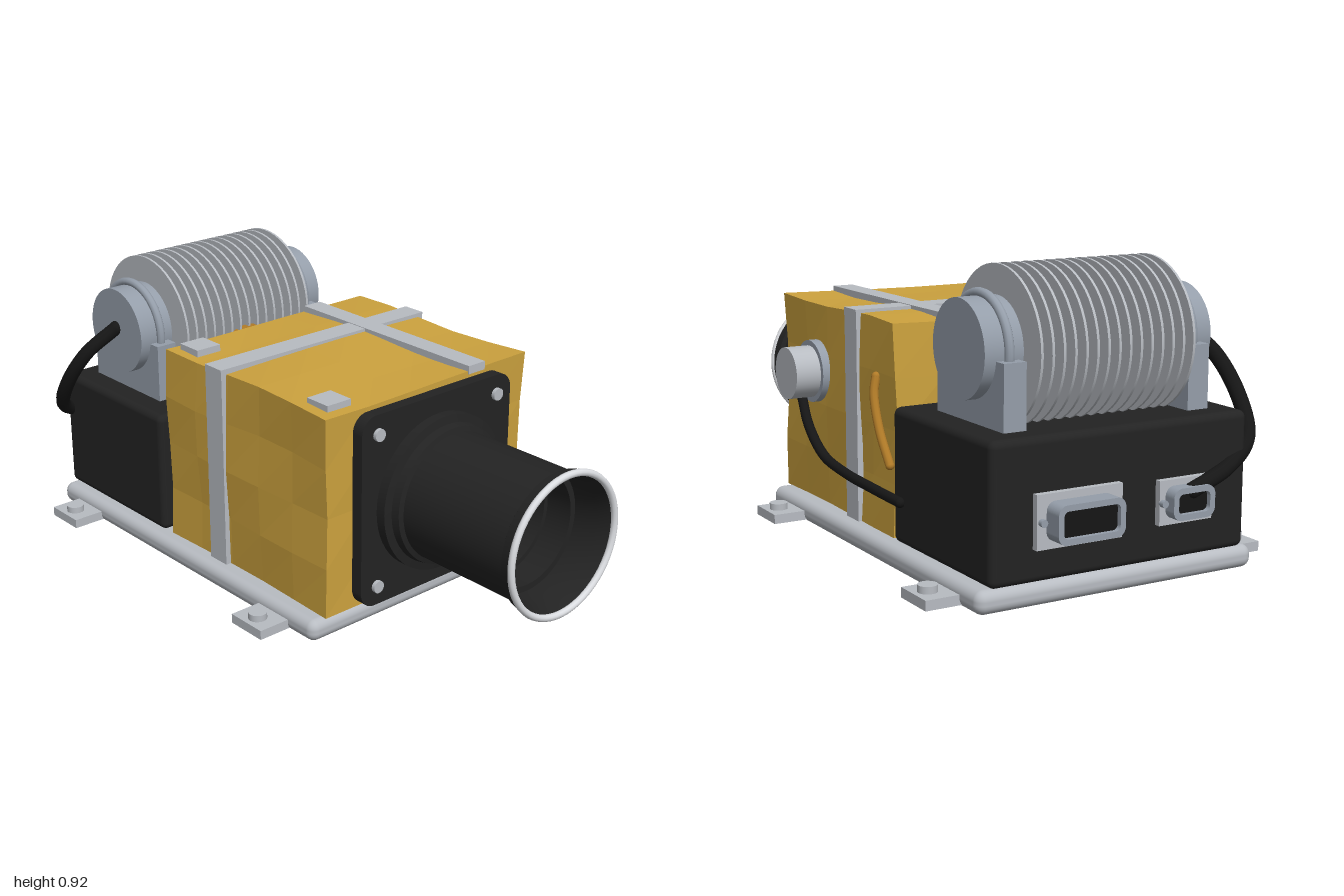
import * as THREE from 'three';
import { toCreasedNormals } from 'three/addons/utils/BufferGeometryUtils.js';
import { RoundedBoxGeometry } from 'three/addons/geometries/RoundedBoxGeometry.js';

const paint = (name, color) => {
  const m = new THREE.MeshStandardMaterial({ color });
  m.name = name;
  return m;
};

export function createModel() {
  const silver = paint('silver', 0xb8bcc2);
  const steel = paint('steel', 0x959eaa);
  const bright = paint('bright rim', 0xdcdee2);
  const black = paint('black', 0x232323);
  const rubber = paint('cable black', 0x161616);
  const foil = paint('gold foil', 0xcca23e);
  const copper = paint('copper', 0xb27c28);
  const glass = paint('lens glass', 0x12303f);

  const model = new THREE.Group();
  model.name = 'infraredSensor';

  const add = (name, geo, mat, x = 0, y = 0, z = 0) => {
    const mesh = new THREE.Mesh(geo, mat);
    mesh.name = name;
    mesh.position.set(x, y, z);
    model.add(mesh);
    return mesh;
  };
  // Box given by its extents on each axis
  const box = (name, mat, x0, x1, y0, y1, z0, z1, r = 0) => {
    const s = [x1 - x0, y1 - y0, z1 - z0];
    const geo = r ? new RoundedBoxGeometry(...s, 4, r) : new THREE.BoxGeometry(...s);
    return add(name, geo, mat, (x0 + x1) / 2, (y0 + y1) / 2, (z0 + z1) / 2);
  };
  // Cylinder lying along an axis
  const rod = (name, mat, axis, r, len, x, y, z, seg = 40) => {
    const geo = new THREE.CylinderGeometry(r, r, len, seg);
    if (axis === 'x') geo.rotateZ(-Math.PI / 2);
    if (axis === 'z') geo.rotateX(Math.PI / 2);
    return add(name, geo, mat, x, y, z);
  };
  const cable = (name, mat, r, pts) => {
    const curve = new THREE.CatmullRomCurve3(pts.map(p => new THREE.Vector3(...p)));
    add(name, new THREE.TubeGeometry(curve, 40, r, 10), mat);
    for (const p of [pts[0], pts[pts.length - 1]]) add(name + 'End', new THREE.SphereGeometry(r, 10, 8), mat, ...p);
  };
  const roundRect = (w, h, r, Type = THREE.Shape) => {
    const s = new Type();
    const x = w / 2, y = h / 2, q = Math.PI / 2;
    s.absarc(x - r, y - r, r, 0, q);
    s.absarc(-x + r, y - r, r, q, 2 * q);
    s.absarc(-x + r, -y + r, r, 2 * q, 3 * q);
    s.absarc(x - r, -y + r, r, 3 * q, 4 * q);
    s.closePath();
    return s;
  };
  const extrude = (shape, depth) => new THREE.ExtrudeGeometry(shape, { depth, bevelEnabled: false, curveSegments: 8 });
  const lathe = pts => toCreasedNormals(
    new THREE.LatheGeometry(pts.map(p => new THREE.Vector2(...p)), 56).rotateX(Math.PI / 2), 0.5);

  // Base plate and bolted feet
  box('basePlate', silver, -0.47, 0.47, 0.005, 0.075, -0.92, 0.44, 0.03);
  for (const s of [-1, 1]) for (const z of [0.255, -0.75]) {
    const x = s * 0.505;
    box('mountingFoot', silver, x - 0.07, x + 0.07, 0.015, 0.045, z - 0.07, z + 0.07);
    rod('footBolt', silver, 'y', 0.029, 0.022, s * 0.53, 0.055, z, 20);
  }

  // Foil-wrapped housing with slightly crumpled faces
  const wrap = new THREE.BoxGeometry(0.82, 0.645, 0.775, 5, 4, 5);
  const p = wrap.attributes.position;
  for (let i = 0; i < p.count; i++) {
    const x = p.getX(i), y = p.getY(i), z = p.getZ(i);
    const a = 0.006;
    p.setXYZ(i,
      x + a * Math.sin(11 * y + 7 * z + 3 * x),
      y + (y > 0 ? a * Math.sin(4 * x + 9 * z + 2) : 0),
      z + a * Math.sin(8 * x + 10 * y + 1) * (z > 0 ? 0.6 : 1));
  }
  const wrapGeo = wrap.toNonIndexed();
  wrapGeo.computeVertexNormals();
  add('foilHousing', wrapGeo, foil, 0, 0.3975, 0.0475);

  // Straps and corner pads
  box('crossStrapTop', silver, -0.425, 0.425, 0.71, 0.735, -0.115, -0.035);
  for (const s of [-1, 1]) {
    box('crossStrapSide', silver, s * 0.412 - 0.012, s * 0.412 + 0.012, 0.075, 0.73, -0.115, -0.035);
  }
  box('longStrap', silver, 0.165, 0.235, 0.71, 0.737, -0.34, 0.437);
  for (const z of [0.355, -0.265]) box('topPad', silver, -0.375, -0.285, 0.71, 0.737, z - 0.045, z + 0.045);

  // Front plate and screws
  add('frontPlate', extrude(roundRect(0.62, 0.62, 0.055), 0.04), black, 0, 0.39, 0.437);
  for (const x of [-0.247, 0.247]) for (const y of [0.143, 0.638]) {
    rod('plateScrew', silver, 'z', 0.02, 0.018, x, y, 0.48, 12);
  }

  // Lens barrel: outer skin forward, then stepped baffles back to the glass
  add('lensBarrel', lathe([
    [0.25, 0.47], [0.25, 0.51], [0.225, 0.515], [0.22, 0.54], [0.205, 0.545], [0.205, 0.94],
    [0.218, 0.95], [0.225, 0.99], [0.212, 0.99], [0.195, 0.94], [0.195, 0.86], [0.175, 0.86],
    [0.175, 0.77], [0.16, 0.77], [0.16, 0.68], [0.145, 0.68], [0.145, 0.58], [0.125, 0.575],
  ]), black, 0, 0.39, 0);
  add('lensRim', new THREE.TorusGeometry(0.219, 0.011, 10, 56), bright, 0, 0.39, 0.989);
  rod('lensGlass', glass, 'z', 0.134, 0.02, 0, 0.39, 0.58, 48);

  // Electronics box
  box('electronicsBox', black, -0.432, 0.432, 0.075, 0.482, -0.92, -0.36, 0.022);

  // Cooler drum, end bands, saddles and fins
  const cy = 0.69, cz = -0.66;
  rod('coolerDrum', steel, 'x', 0.143, 0.764, 0, cy, cz, 48);
  for (const s of [-1, 1]) {
    const x = s * 0.31;
    box('coolerSaddle', steel, x - 0.036, x + 0.036, 0.47, 0.672, cz - 0.182, cz + 0.182);
    add('coolerBand', new THREE.TorusGeometry(0.152, 0.014, 10, 48), steel, x, cy, cz).rotation.y = Math.PI / 2;
  }
  for (let i = -7; i <= 7; i++) rod('coolingFin', silver, 'x', 0.23, 0.008, i * 0.0364, cy, cz, 48);

  // Cold finger joining the housing to the cooler
  rod('coldFingerFlange', silver, 'z', 0.138, 0.03, 0, 0.56, -0.347);
  rod('coldFinger', copper, 'z', 0.12, 0.11, 0, 0.56, -0.397);
  rod('coldFingerTip', silver, 'z', 0.036, 0.2, 0, 0.56, -0.54, 24);

  // Side port
  rod('portFlange', steel, 'x', 0.1, 0.035, 0.418, 0.5, 0.2);
  rod('portCap', silver, 'x', 0.083, 0.085, 0.476, 0.5, 0.2);

  // Cables
  cable('portCable', rubber, 0.016, [
    [0.465, 0.42, 0.2], [0.475, 0.34, 0.13], [0.476, 0.265, 0.02],
    [0.468, 0.235, -0.12], [0.455, 0.22, -0.27], [0.44, 0.207, -0.42],
  ]);
  cable('coolerCable', rubber, 0.024, [
    [-0.385, 0.7, -0.66], [-0.47, 0.62, -0.71], [-0.502, 0.5, -0.79],
    [-0.475, 0.39, -0.87], [-0.36, 0.325, -0.925], [-0.21, 0.28, -0.955],
  ]);
  cable('copperLead', copper, 0.014, [
    [0.42, 0.55, -0.235], [0.432, 0.5, -0.245], [0.436, 0.4, -0.285], [0.43, 0.3, -0.34],
  ]);

  // Rear connectors: flange, hollow shell, dark core and side screws
  const connector = (x, y, w, h, depth) => {
    const back = -0.94;
    box('connectorFlange', silver, x - w / 2, x + w / 2, y - h / 2, y + h / 2, back, -0.915);
    const sw = w * 0.78, sh = h * 0.72;
    const ring = roundRect(sw, sh, 0.028);
    ring.holes.push(roundRect(sw - 0.035, sh - 0.035, 0.015, THREE.Path));
    add('connectorShell', extrude(ring, depth), steel, x, y, back - depth);
    box('connectorCore', rubber, x - sw / 2 + 0.015, x + sw / 2 - 0.015,
      y - sh / 2 + 0.015, y + sh / 2 - 0.015, back - depth + 0.015, back);
    for (const s of [-1, 1]) rod('connectorScrew', steel, 'z', 0.011, 0.02, x + s * w * 0.445, y, back - 0.005, 12);
  };
  connector(0.16, 0.25, 0.28, 0.155, 0.06);
  connector(-0.2, 0.25, 0.185, 0.13, 0.04);

  return model;
}
